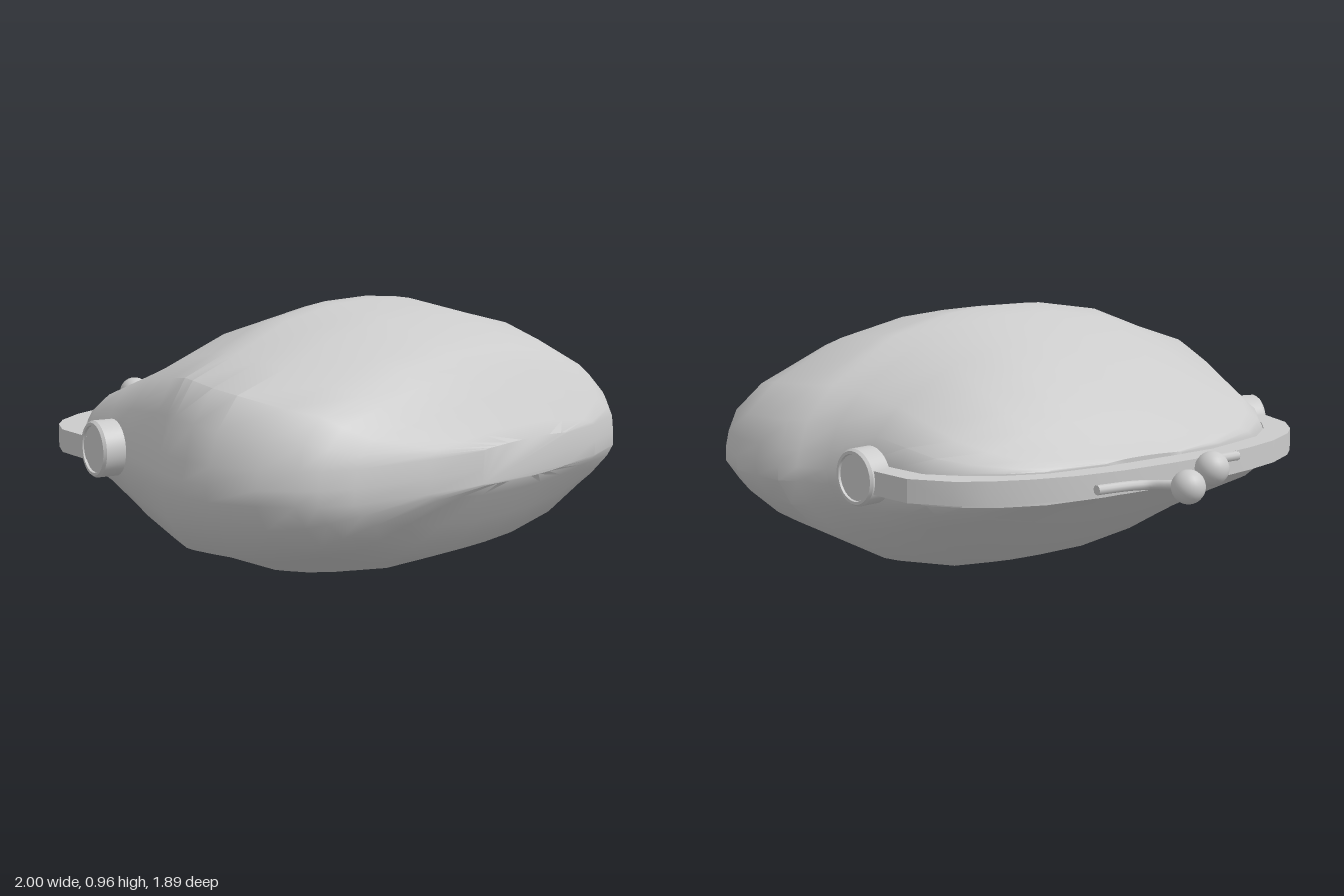
import * as THREE from 'three';
import { toCreasedNormals } from 'three/addons/utils/BufferGeometryUtils.js';

const grey = new THREE.MeshStandardMaterial({ color: 0xcccccc });

function add(group, name, geometry) {
  const mesh = new THREE.Mesh(geometry, grey);
  mesh.name = name;
  group.add(mesh);
  return mesh;
}

// Pouch: cross-sections from the front to the mouth, [z, left x, right x, top y, bottom y]
const sections = [
  [0.945, -0.2, 0.28, 0.54, 0.41],
  [0.915, -0.45, 0.5, 0.58, 0.37],
  [0.85, -0.73, 0.72, 0.68, 0.27],
  [0.79, -0.83, 0.8, 0.76, 0.2],
  [0.74, -0.88, 0.86, 0.82, 0.15],
  [0.64, -0.95, 0.96, 0.86, 0.11],
  [0.48, -1, 1, 0.92, 0.05],
  [0.36, -0.985, 0.985, 0.94, 0.025],
  [0.24, -0.95, 0.965, 0.96, 0.005],
  [0.19, -0.93, 0.92, 0.965, 0],
  [0.1, -0.89, 0.85, 0.94, 0.025],
  [-0.1, -0.81, 0.815, 0.88, 0.09],
  [-0.25, -0.76, 0.79, 0.8, 0.175],
  [-0.38, -0.72, 0.76, 0.72, 0.25],
  [-0.47, -0.65, 0.68, 0.655, 0.31],
  [-0.55, -0.52, 0.57, 0.595, 0.37],
  [-0.605, -0.32, 0.44, 0.555, 0.41],
  [-0.63, -0.12, 0.22, 0.54, 0.43],
];
// Dome across a section: [position between the edges, share of full height]
const dome = [[-0.95, 0.27], [-0.86, 0.53], [-0.64, 0.69], [-0.4, 0.89], [-0.12, 0.99],
  [0.12, 1], [0.3, 0.97], [0.56, 0.83], [0.84, 0.48], [0.95, 0.22]];

function pouchGeometry() {
  const points = [];
  for (const [z, left, right, top, bottom] of sections) {
    const x = (u) => (left + right) / 2 + u * (right - left) / 2;
    const ring = [
      [-1, 0.42], [-1, 0.47], [-0.985, 0.53],
      ...dome.map(([u, h]) => [u, 0.53 + (top - 0.53) * h]),
      [0.985, 0.53], [1, 0.47], [1, 0.42],
      ...dome.map(([u, h]) => [u, 0.42 + (bottom - 0.42) * h]).reverse(),
    ];
    for (const [u, y] of ring) points.push(x(u), y, z);
  }
  const n = points.length / 3 / sections.length;
  const last = (sections.length - 1) * n;
  const index = [];
  for (let i = 0; i < sections.length - 1; i++) {
    for (let j = 0; j < n; j++) {
      const a = i * n + j, b = i * n + (j + 1) % n;
      index.push(a, b, a + n, b, b + n, a + n);
    }
  }
  for (let j = 1; j < n - 1; j++) {
    index.push(0, j + 1, j, last, last + j, last + j + 1);
  }
  const geometry = new THREE.BufferGeometry();
  geometry.setAttribute('position', new THREE.Float32BufferAttribute(points, 3));
  geometry.setIndex(index);
  return toCreasedNormals(geometry, 0.65);
}

// Frame lines in plan, [x, z], from the left hinge round the mouth to the right one
const outer = [[-0.86, -0.16], [-0.835, -0.28], [-0.8, -0.42], [-0.73, -0.52], [-0.66, -0.58],
  [-0.53, -0.645], [-0.38, -0.685], [-0.2, -0.715], [0, -0.72], [0.2, -0.715], [0.38, -0.69],
  [0.53, -0.645], [0.66, -0.585], [0.75, -0.52], [0.845, -0.4], [0.87, -0.24], [0.875, -0.13]];
const inner = [[-0.775, -0.14], [-0.755, -0.25], [-0.725, -0.37], [-0.655, -0.46], [-0.53, -0.555],
  [-0.4, -0.59], [-0.26, -0.625], [0, -0.63], [0.26, -0.625], [0.43, -0.605],
  [0.58, -0.54], [0.69, -0.455], [0.765, -0.37], [0.79, -0.24], [0.805, -0.13]];

// Flat band between two plan lines, raised from one height to another
function band(a, b, y0, y1) {
  const shape = new THREE.Shape(
    [...a, ...b.slice().reverse()].map(([x, z]) => new THREE.Vector2(x, -z)));
  return toCreasedNormals(
    new THREE.ExtrudeGeometry(shape, { depth: y1 - y0, bevelEnabled: false })
      .rotateX(-Math.PI / 2).translate(0, y0, 0), 0.5);
}

// Round hinge cap: a rimmed drum whose outer face is slightly recessed
function hinge(group, name, position, direction) {
  const profile = [[0, -0.04], [0.097, -0.04], [0.097, 0.03], [0.09, 0.04],
    [0.08, 0.04], [0.078, 0.032], [0, 0.032]].map(([r, y]) => new THREE.Vector2(r, y));
  const cap = add(group, name, toCreasedNormals(new THREE.LatheGeometry(profile, 32), 0.5));
  cap.position.set(...position);
  cap.quaternion.setFromUnitVectors(
    new THREE.Vector3(0, 1, 0), new THREE.Vector3(...direction).normalize());
}

// Kiss-lock arm: bent rod with a ball at its tip
function claspArm(group, name, path) {
  const arm = new THREE.Group();
  arm.name = name;
  const points = path.map((p) => new THREE.Vector3(...p));
  const curve = new THREE.CatmullRomCurve3(points, false, 'centripetal');
  add(arm, 'rod', new THREE.TubeGeometry(curve, 24, 0.017, 10));
  // Closed end of the rod
  const end = add(arm, 'rodEnd', new THREE.CylinderGeometry(0.017, 0.017, 0.004, 10).rotateZ(Math.PI / 2));
  end.position.copy(points[0]);
  const ball = add(arm, 'ball', new THREE.SphereGeometry(0.057, 24, 16));
  ball.position.copy(points[points.length - 1]);
  group.add(arm);
}

export function createModel() {
  const purse = new THREE.Group();
  purse.name = 'coinPurse';

  add(purse, 'pouch', pouchGeometry());

  // Metal frame round the mouth
  add(purse, 'frame', band(outer, inner, 0.445, 0.525));

  hinge(purse, 'rightHinge', [-0.828, 0.49, -0.18], [-0.95, 0, -0.3]);
  hinge(purse, 'leftHinge', [0.857, 0.49, -0.145], [0.99, 0, -0.12]);

  claspArm(purse, 'rightClasp', [[-0.28, 0.515, -0.725], [-0.14, 0.515, -0.732],
    [-0.095, 0.515, -0.75], [-0.065, 0.52, -0.8], [-0.03, 0.53, -0.88]]);
  claspArm(purse, 'leftClasp', [[0.32, 0.475, -0.718], [0.19, 0.475, -0.735],
    [0.135, 0.475, -0.76], [0.105, 0.48, -0.81], [0.08, 0.485, -0.89]]);

  return purse;
}
